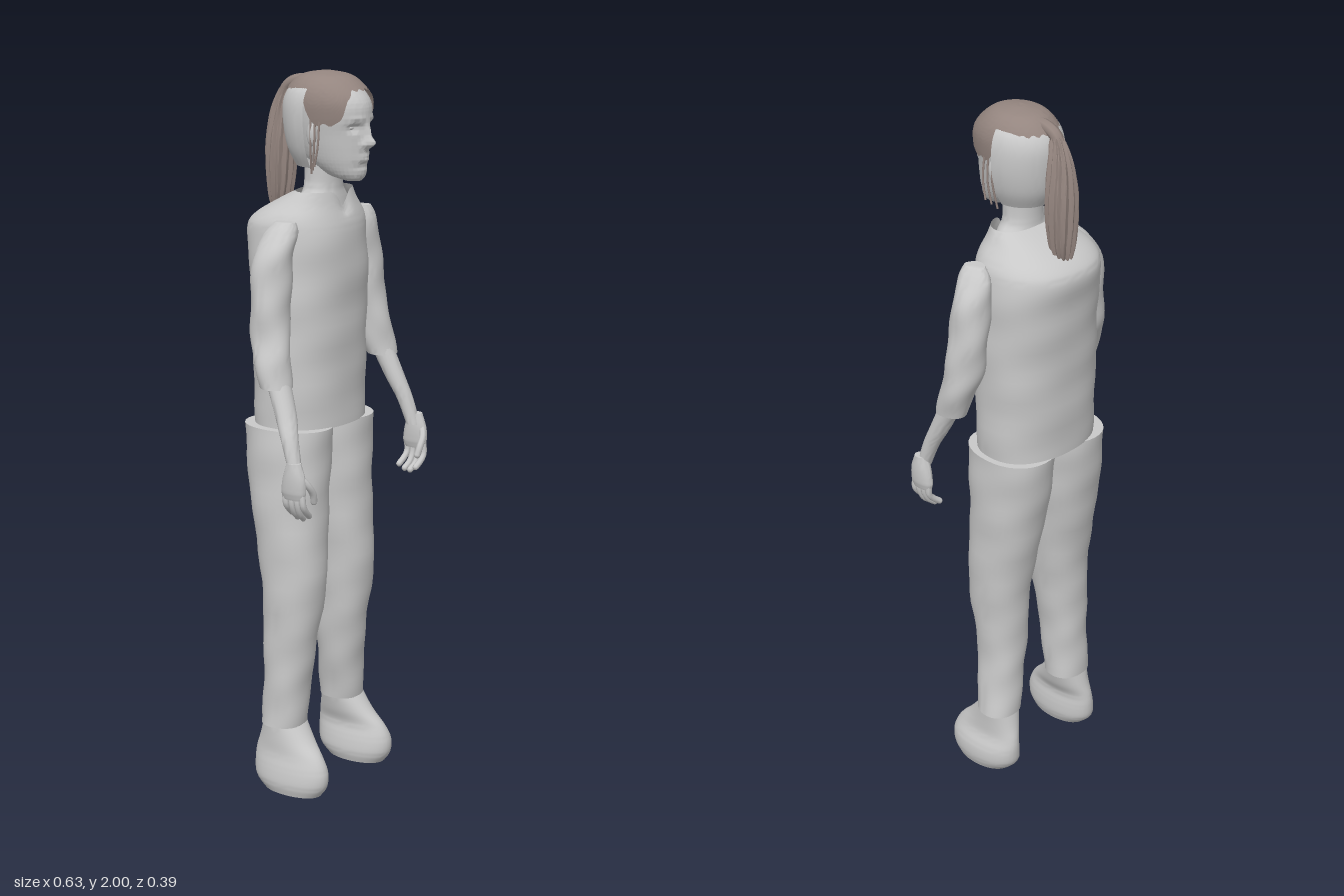
import * as THREE from 'three';
import { toCreasedNormals } from 'three/addons/utils/BufferGeometryUtils.js';

const grey = new THREE.MeshStandardMaterial({ color: 0xc8c8c8, side: THREE.DoubleSide });
grey.name = 'plain grey';
const brown = new THREE.MeshStandardMaterial({ color: 0x94857f, side: THREE.DoubleSide });
brown.name = 'hair brown';

const bump = (v, c, w) => Math.exp(-(((v - c) / w) ** 2));

// Smooth interpolation between the rows of a table
function rowAt(rows, u) {
  const n = rows.length - 1, i = Math.min(n - 1, Math.floor(u)), t = u - i;
  const [a, b, c, d] = [i - 1, i, i + 1, i + 2].map(k => rows[Math.max(0, Math.min(n, k))]);
  return b.map((_, k) => 0.5 * (2 * b[k] + (c[k] - a[k]) * t + (2 * a[k] - 5 * b[k] + 4 * c[k] - d[k]) * t * t
    + (3 * b[k] - a[k] - 3 * c[k] + d[k]) * t ** 3));
}

// Skin over horizontal rings; rows run upward as [y, xMin, xMax, zMin, zMax]
function loft(rows, { around = 32, steps = 5, pow = 2, from = 0, to = Math.PI * 2, start = () => 0,
  grow = 0, capBottom = false, capTop = false, warp = null, crease = 0.9 } = {}) {
  const pos = [], idx = [], m = (rows.length - 1) * steps, last = rows.length - 1;
  const rings = [];
  if (capBottom) rings.push([0, 0]);
  for (let i = 0; i <= m; i++) rings.push([i / m, 1]);
  if (capTop) rings.push([1, 0]);
  for (const [t, s] of rings) for (let j = 0; j <= around; j++) {
    const a = j === around && to - from > 6.28 ? from : from + (to - from) * j / around;
    const u = start(a) + (last - start(a)) * t;
    const [y, x0, x1, z0, z1] = rowAt(rows, u);
    const c = Math.cos(a), d = Math.sin(a), e = 2 / pow;
    const p = new THREE.Vector3(
      (x0 + x1) / 2 + s * ((x1 - x0) / 2 + grow) * Math.sign(c) * Math.abs(c) ** e, y,
      (z0 + z1) / 2 + s * ((z1 - z0) / 2 + grow) * Math.sign(d) * Math.abs(d) ** e);
    if (warp && s) warp(p, a, u);
    pos.push(p.x, p.y, p.z);
  }
  const w = around + 1;
  for (let i = 0; i < rings.length - 1; i++) for (let j = 0; j < around; j++) {
    const k = i * w + j;
    idx.push(k, k + w, k + 1, k + 1, k + w, k + w + 1);
  }
  const g = new THREE.BufferGeometry();
  g.setAttribute('position', new THREE.Float32BufferAttribute(pos, 3));
  g.setIndex(idx);
  return toCreasedNormals(g, crease);
}

// Soft cloth folds
const folds = amount => (p, a) => {
  const f = amount * (Math.sin(p.y * 47 + 2 * a) + Math.sin(p.y * 29 - 3 * a + 1));
  p.x += f * Math.cos(a);
  p.z += f * Math.sin(a);
};

export function createModel() {
  const model = new THREE.Group();
  const add = (name, geo, mat = grey, parent = model) => {
    const mesh = new THREE.Mesh(geo, mat);
    mesh.name = name;
    parent.add(mesh);
    return mesh;
  };
  const tube = (pts, r, seg = 10) => new THREE.TubeGeometry(
    new THREE.CatmullRomCurve3(pts.map(p => new THREE.Vector3(...p))), seg, r, 8);
  const cx = 0.032;

  // Shirt with a notched collar
  add('shirt', loft([
    [1.04, -0.15, 0.2, -0.155, 0.1], [1.2, -0.15, 0.203, -0.163, 0.1], [1.35, -0.147, 0.207, -0.17, 0.102],
    [1.48, -0.142, 0.208, -0.182, 0.105], [1.57, -0.138, 0.203, -0.192, 0.1], [1.61, -0.125, 0.19, -0.172, 0.094],
    [1.65, -0.09, 0.155, -0.11, 0.082], [1.682, -0.068, 0.132, -0.045, 0.072],
  ], { around: 56, pow: 2.3, capBottom: true, warp: (p, a) => {
    folds(0.0013)(p, a);
    if (p.z > 0) p.y -= 0.042 * bump(p.x, cx, 0.022) * THREE.MathUtils.smoothstep(p.y, 1.6, 1.68);
  } }));

  // Trouser legs
  const legs = {
    right: [[0.19, -0.19, -0.06, -0.072, 0.052], [0.3, -0.187, -0.056, -0.068, 0.062], [0.42, -0.187, -0.048, -0.07, 0.077],
      [0.6, -0.19, -0.022, -0.08, 0.1], [0.8, -0.19, 0.003, -0.118, 0.095], [0.95, -0.183, 0.018, -0.145, 0.098],
      [1.042, -0.175, 0.02, -0.155, 0.1]],
    left: [[0.19, 0.096, 0.217, -0.072, 0.052], [0.3, 0.078, 0.203, -0.068, 0.062], [0.42, 0.06, 0.197, -0.07, 0.077],
      [0.6, 0.047, 0.21, -0.08, 0.1], [0.8, 0.025, 0.215, -0.118, 0.095], [0.95, 0.015, 0.218, -0.145, 0.098],
      [1.042, 0.012, 0.218, -0.155, 0.1]],
  };
  // Feet
  const feet = {
    right: [[0, -0.195, -0.1, -0.055, 0.125], [0.03, -0.202, -0.09, -0.085, 0.145], [0.07, -0.197, -0.09, -0.092, 0.146],
      [0.11, -0.187, -0.094, -0.09, 0.127], [0.15, -0.185, -0.077, -0.08, 0.088], [0.2, -0.183, -0.064, -0.068, 0.048]],
    left: [[0, 0.115, 0.22, -0.055, 0.125], [0.03, 0.107, 0.23, -0.085, 0.145], [0.07, 0.112, 0.228, -0.092, 0.146],
      [0.11, 0.121, 0.212, -0.09, 0.127], [0.15, 0.11, 0.21, -0.08, 0.088], [0.2, 0.1, 0.212, -0.068, 0.048]],
  };
  // Sleeves
  const sleeves = {
    right: [[1.185, -0.278, -0.188, 0.002, 0.085], [1.25, -0.272, -0.174, -0.025, 0.075], [1.32, -0.256, -0.155, -0.047, 0.06],
      [1.42, -0.248, -0.135, -0.057, 0.05], [1.52, -0.232, -0.12, -0.057, 0.048], [1.58, -0.192, -0.105, -0.045, 0.045],
      [1.612, -0.155, -0.118, -0.025, 0.035]],
    left: [[1.185, 0.23, 0.31, 0.002, 0.085], [1.25, 0.22, 0.314, -0.025, 0.075], [1.32, 0.206, 0.31, -0.047, 0.06],
      [1.42, 0.197, 0.302, -0.057, 0.05], [1.52, 0.187, 0.288, -0.057, 0.048], [1.58, 0.185, 0.26, -0.045, 0.045],
      [1.612, 0.193, 0.235, -0.025, 0.035]],
  };
  // Forearms
  const forearms = {
    right: [[0.99, -0.306, -0.268, 0.125, 0.163], [1.06, -0.298, -0.25, 0.095, 0.142], [1.12, -0.281, -0.22, 0.06, 0.117],
      [1.22, -0.258, -0.19, 0.005, 0.072]],
    left: [[0.99, 0.262, 0.302, 0.125, 0.163], [1.06, 0.256, 0.301, 0.095, 0.142], [1.12, 0.246, 0.3, 0.06, 0.117],
      [1.22, 0.236, 0.297, 0.005, 0.072]],
  };
  for (const side of ['right', 'left']) {
    const s = side === 'right' ? -1 : 1;
    add(side + 'TrouserLeg', loft(legs[side], { capTop: true, capBottom: true, pow: 2.15, warp: folds(0.0012) }));
    add(side + 'Foot', loft(feet[side], { capBottom: true, pow: 2.1 }));
    add(side + 'Sleeve', loft(sleeves[side], { capTop: true, capBottom: true, warp: folds(0.0018) }));
    add(side + 'Forearm', loft(forearms[side], { around: 20, capBottom: true }));

    // Hand: palm, four curled fingers and a thumb
    const hand = new THREE.Group();
    hand.name = side + 'Hand';
    hand.position.y = s > 0 ? 0.015 : 0;
    model.add(hand);
    const mid = s * 0.292;
    add('palm', loft([[0.905, mid - 0.012, mid + 0.012, 0.112, 0.176], [0.925, mid - 0.018, mid + 0.018, 0.106, 0.182],
      [0.965, mid - 0.02, mid + 0.02, 0.112, 0.18], [1.005, mid - 0.017, mid + 0.017, 0.125, 0.165]],
    { around: 20, capBottom: true, capTop: true }), grey, hand);
    for (let f = 0; f < 4; f++) {
      const z = 0.116 + f * 0.0185, drop = [0.012, 0.002, 0, 0.01][f];
      const tip = [s * 0.258, 0.846 + drop, z - 0.002];
      add('finger', tube([[mid, 0.93, z], [s * 0.291, 0.89, z + 0.003], [s * 0.278, 0.862 + drop, z + 0.002], tip], 0.0088), grey, hand);
      add('fingertip', new THREE.SphereGeometry(0.0088, 8, 6), grey, hand).position.set(...tip);
    }
    add('thumb', tube([[s * 0.295, 0.975, 0.163], [s * 0.277, 0.945, 0.18], [s * 0.258, 0.918, 0.183], [s * 0.25, 0.895, 0.18]], 0.0095), grey, hand);
    add('thumbTip', new THREE.SphereGeometry(0.0095, 8, 6), grey, hand).position.set(s * 0.25, 0.895, 0.18);
  }

  // Neck
  add('neck', loft([[1.62, -0.07, 0.135, -0.06, 0.07], [1.66, -0.05, 0.115, -0.045, 0.064], [1.69, -0.028, 0.092, -0.04, 0.06],
    [1.74, -0.024, 0.088, -0.04, 0.062], [1.8, -0.026, 0.09, -0.045, 0.065]]));

  // Head with a modelled face
  const headRows = [[1.712, 0.022, 0.085, 0.13], [1.726, 0.043, 0.03, 0.141], [1.76, 0.063, -0.035, 0.146],
    [1.8, 0.075, -0.07, 0.148], [1.84, 0.083, -0.088, 0.149], [1.88, 0.089, -0.096, 0.155], [1.92, 0.09, -0.095, 0.15],
    [1.955, 0.078, -0.075, 0.122], [1.982, 0.05, -0.04, 0.083], [1.993, 0.004, 0.015, 0.025]]
    .map(([y, h, z0, z1]) => [y, cx - h, cx + h, z0, z1]);
  const face = p => {
    if (p.z < 0.06) return;
    const x = Math.abs(p.x - cx), y = p.y;
    p.z += 0.03 * bump(x, 0, 0.012) * bump(y, 1.816, 0.016)       // nose tip
      + 0.014 * bump(x, 0, 0.009) * bump(y, 1.845, 0.02)          // nose bridge
      + 0.007 * bump(x, 0.017, 0.007) * bump(y, 1.81, 0.008)      // nostrils
      - 0.014 * bump(x, 0.034, 0.016) * bump(y, 1.857, 0.011)     // eye sockets
      + 0.004 * bump(x, 0.034, 0.022) * bump(y, 1.878, 0.007)     // brows
      + 0.007 * bump(x, 0, 0.02) * (bump(y, 1.783, 0.005) + bump(y, 1.77, 0.005))  // lips
      - 0.006 * bump(x, 0, 0.03) * bump(y, 1.754, 0.008);         // chin crease
  };
  add('head', loft(headRows, { around: 128, steps: 9, capBottom: true, capTop: true, warp: face, crease: 1.2 }));
  for (const s of [-1, 1]) {
    const eye = add('eye', new THREE.SphereGeometry(0.0115, 16, 10));
    eye.position.set(cx + s * 0.034, 1.857, 0.121);
    eye.scale.set(1.15, 0.65, 0.8);
    const ear = add('ear', new THREE.SphereGeometry(0.026, 14, 10));
    ear.position.set(cx + s * 0.083, 1.838, 0.03);
    ear.scale.set(0.4, 1.25, 0.7);
    ear.rotation.y = s * 0.35;
    // Loose locks beside the cheeks
    for (let k = 0; k < 3; k++) add('looseLock', tube([[cx + s * 0.09, 1.88, 0.06 - k * 0.014],
      [cx + s * (0.097 - k * 0.003), 1.81, 0.06 - k * 0.014], [cx + s * (0.098 - k * 0.01), 1.755 - k * 0.012, 0.05 - k * 0.012]], 0.0028), brown);
  }

  // Grey shell round the back of the head
  add('backOfHeadShell', loft([[1.745, -0.04, 0.104, -0.065, 0.1], [1.79, -0.062, 0.126, -0.088, 0.124],
    [1.85, -0.075, 0.139, -0.1, 0.138], [1.91, -0.075, 0.139, -0.102, 0.138], [1.95, -0.062, 0.126, -0.086, 0.124],
    [1.975, -0.035, 0.099, -0.055, 0.1]], { from: Math.PI, to: Math.PI * 2, around: 40 }));

  // Brown cap with a hairline low at the temples and high in front and behind
  const hairline = a => {
    const d = Math.sin(a);
    return 4.5 + (d > 0.3 ? 2.3 * THREE.MathUtils.smoothstep(d, 0.55, 0.95) : 2.2 * THREE.MathUtils.smoothstep(-d, -0.1, 0.25))
      + 0.1 * Math.sin(23 * a);
  };
  add('hairCap', loft(headRows, { around: 96, steps: 4, start: hairline, grow: 0.008, capTop: true, crease: 1.2,
    warp: p => { p.y += 0.006; } }), brown);

  // Ponytail: gathered root, grooved tail and ragged ends
  add('ponytailRoot', tube([[cx, 1.97, -0.045], [cx, 1.965, -0.08], [cx, 1.95, -0.108], [cx, 1.92, -0.122]], 0.017), brown);
  add('ponytail', loft([[1.6, 0.018, 0.05, -0.153, -0.128], [1.65, 0.002, 0.067, -0.166, -0.105],
    [1.72, -0.008, 0.076, -0.172, -0.094], [1.8, -0.01, 0.077, -0.17, -0.092], [1.88, 0.002, 0.065, -0.158, -0.094],
    [1.93, 0.014, 0.052, -0.138, -0.095], [1.958, 0.025, 0.04, -0.118, -0.1]], {
    around: 72, capBottom: true, capTop: true, crease: 0.6, warp: (p, a) => {
      const g = 0.0035 * Math.cos(12 * a + p.y * 14);
      p.x += g * Math.cos(a);
      p.z += g * Math.sin(a);
    } }), brown);
  for (let k = 0; k < 9; k++) {
    const a = k * 2.4, r = 0.35 + 0.07 * k;
    const lock = add('tailEnd', new THREE.ConeGeometry(0.006, 0.06, 6), brown);
    lock.position.set(cx + 0.03 * r * Math.cos(a), 1.595 + 0.006 * k, -0.139 + 0.026 * r * Math.sin(a));
    lock.rotation.x = Math.PI;
  }
  return model;
}
